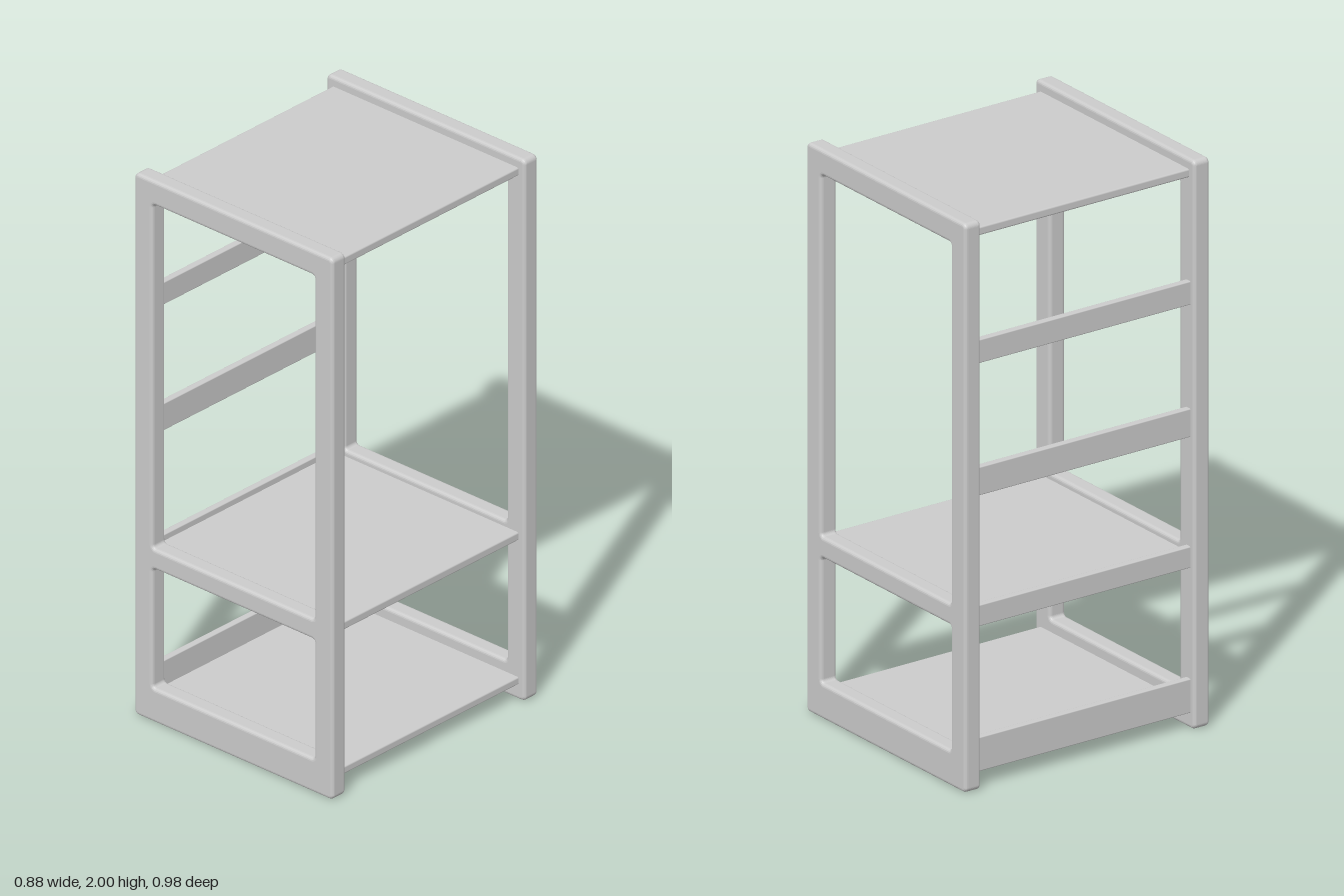
import * as THREE from 'three';
import { RoundedBoxGeometry } from 'three/addons/geometries/RoundedBoxGeometry.js';

const material = new THREE.MeshStandardMaterial({ color: 0xcccccc });

// Rectangle with rounded corners, as a shape or a hole
function roundedRect(path, x0, y0, x1, y1, r) {
  path.absarc(x1 - r, y0 + r, r, -Math.PI / 2, 0);
  path.absarc(x1 - r, y1 - r, r, 0, Math.PI / 2);
  path.absarc(x0 + r, y1 - r, r, Math.PI / 2, Math.PI);
  path.absarc(x0 + r, y0 + r, r, Math.PI, Math.PI * 1.5);
  path.closePath();
  return path;
}

// Softly rounded bar given by its limits on each axis
function bar(name, [x0, x1], [y0, y1], [z0, z1], r) {
  const geometry = new RoundedBoxGeometry(x1 - x0, y1 - y0, z1 - z0, 2, r);
  const mesh = new THREE.Mesh(geometry, material);
  mesh.position.set((x0 + x1) / 2, (y0 + y1) / 2, (z0 + z1) / 2);
  mesh.name = name;
  return mesh;
}

// End frame: two posts, three rails and two openings, in one piece
function frameGeometry() {
  const depth = 0.064, bevel = 0.012;
  const shape = roundedRect(new THREE.Shape(), -0.44, 0, 0.44, 2, 0.018);
  shape.holes.push(
    roundedRect(new THREE.Path(), -0.358, 0.125, 0.358, 0.565, 0.012),
    roundedRect(new THREE.Path(), -0.358, 0.64, 0.358, 1.91, 0.012),
  );
  const geometry = new THREE.ExtrudeGeometry(shape, {
    depth: depth - 2 * bevel,
    curveSegments: 5,
    bevelSize: bevel,
    bevelThickness: bevel,
    bevelOffset: -bevel,
    bevelSegments: 4,
  });
  geometry.translate(0, 0, -depth / 2 + bevel);
  return geometry;
}

export function createModel() {
  const model = new THREE.Group();
  model.name = 'openWardrobe';

  // Front and back frames
  const frame = frameGeometry();
  for (const [name, z] of [['frontFrame', 0.46], ['backFrame', -0.46]]) {
    const mesh = new THREE.Mesh(frame, material);
    mesh.name = name;
    mesh.position.z = z;
    model.add(mesh);
  }

  // Panels between the frames
  const span = [-0.435, 0.435];
  const shelves = [['bottomShelf', 0.055, 0.083], ['middleShelf', 0.588, 0.618], ['topPanel', 1.935, 1.965]];
  for (const [name, y0, y1] of shelves) {
    model.add(bar(name, [-0.412, 0.412], [y0, y1], span, 0.006));
  }

  // Slats across one side only
  for (const [y0, y1] of [[0.055, 0.175], [0.565, 0.64], [1.025, 1.125], [1.49, 1.573]]) {
    model.add(bar('sideSlat', [-0.42, -0.395], [y0, y1], span, 0.004));
  }

  // Hanging rail under the top panel
  const rail = new THREE.Group();
  rail.name = 'hangingRail';
  const rodX = 0.025;
  for (const z of [-0.346, 0.35]) {
    rail.add(bar('railBracket', [rodX - 0.02, rodX + 0.02], [1.825, 1.94], [z - 0.02, z + 0.02], 0.005));
  }
  const rod = new THREE.Mesh(new THREE.CylinderGeometry(0.014, 0.014, 0.68, 24), material);
  rod.name = 'rod';
  rod.rotation.x = Math.PI / 2;
  rod.position.set(rodX, 1.853, 0.002);
  rail.add(rod);
  model.add(rail);

  return model;
}
